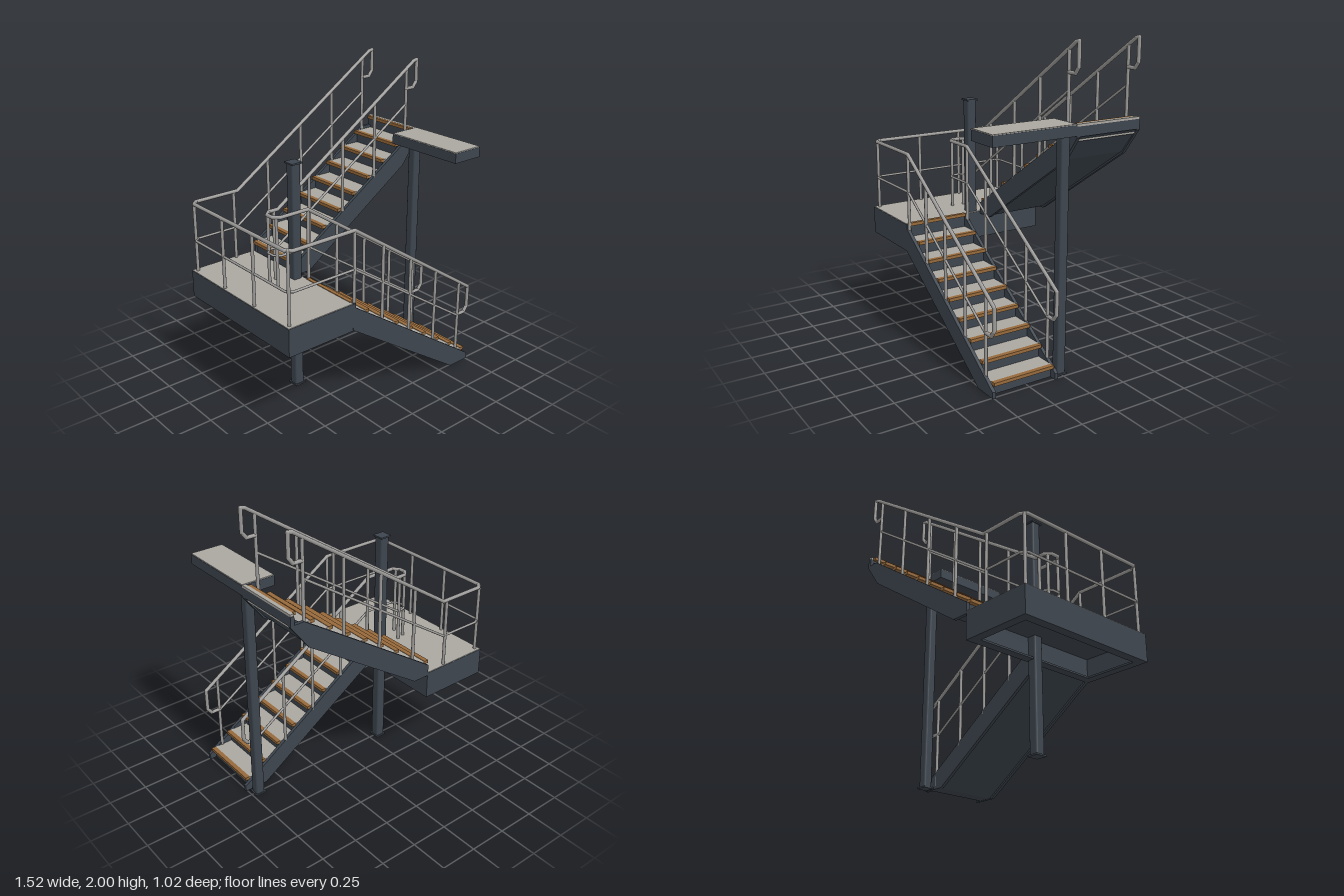
import * as THREE from 'three';
import { RoundedBoxGeometry } from 'three/addons/geometries/RoundedBoxGeometry.js';

const material = (name, color) => {
  const m = new THREE.MeshStandardMaterial({ color });
  m.name = name;
  return m;
};

export function createModel() {
  const steel = material('dark steel', 0x3d454e);
  const deck = material('grey deck', 0xaaa7a1);
  const railGrey = material('rail grey', 0x9b9a98);
  const wood = material('brown nosing', 0x96693a);

  const model = new THREE.Group();
  model.name = 'staircase';
  const group = (name) => {
    const g = new THREE.Group();
    g.name = name;
    model.add(g);
    return g;
  };
  const add = (parent, name, geometry, mat) => {
    const mesh = new THREE.Mesh(geometry, mat);
    mesh.name = name;
    parent.add(mesh);
    return mesh;
  };
  // Box given by its lower and upper limits on each axis
  const box = (parent, name, mat, x0, x1, y0, y1, z0, z1) => {
    const mesh = add(parent, name, new THREE.BoxGeometry(x1 - x0, y1 - y0, z1 - z0), mat);
    mesh.position.set((x0 + x1) / 2, (y0 + y1) / 2, (z0 + z1) / 2);
  };
  // Side profile in x and y, extruded from z0 to z1
  const slab = (parent, name, mat, points, z0, z1) => {
    const shape = new THREE.Shape(points.map(([x, y]) => new THREE.Vector2(x, y)));
    const geo = new THREE.ExtrudeGeometry(shape, { depth: z1 - z0, bevelEnabled: false });
    add(parent, name, geo.translate(0, 0, z0), mat);
  };
  // Pipe through a list of points, with round joints
  const pipe = (parent, name, points, radius) => {
    const v = points.map((p) => new THREE.Vector3(...p));
    for (let i = 0; i < v.length; i++) {
      add(parent, name + 'Joint', new THREE.SphereGeometry(radius, 10, 6), railGrey).position.copy(v[i]);
      if (i === 0) continue;
      const dir = v[i].clone().sub(v[i - 1]);
      const rod = add(parent, name, new THREE.CylinderGeometry(radius, radius, dir.length(), 10), railGrey);
      rod.position.copy(v[i]).add(v[i - 1]).multiplyScalar(0.5);
      rod.quaternion.setFromUnitVectors(new THREE.Vector3(0, 1, 0), dir.normalize());
    }
  };

  // Columns with end plates
  const column = (name, x, width, height) => {
    const g = group(name);
    add(g, 'shaft', new RoundedBoxGeometry(width, height, width, 2, 0.012), steel).position.set(x, height / 2, 0);
    const h = width / 2 + 0.007;
    box(g, 'basePlate', steel, x - h, x + h, 0, 0.01, -h, h);
    box(g, 'topPlate', steel, x - h, x + h, height - 0.01, height, -h, h);
  };
  column('landingColumn', -0.325, 0.064, 1.53);
  column('upperColumn', 0.698, 0.06, 1.465);

  // Landing: hollow channel frame with a deck on top
  const landing = group('landing');
  const ring = (name, y0, y1, inset) => {
    const rect = (Type, d) => new Type([
      new THREE.Vector2(-0.765 + d, -0.508 + d), new THREE.Vector2(-0.283 - d, -0.508 + d),
      new THREE.Vector2(-0.283 - d, 0.508 - d), new THREE.Vector2(-0.765 + d, 0.508 - d),
    ]);
    const shape = rect(THREE.Shape, 0);
    shape.holes.push(rect(THREE.Path, inset));
    const geo = new THREE.ExtrudeGeometry(shape, { depth: y1 - y0, bevelEnabled: false });
    add(landing, name, geo.rotateX(-Math.PI / 2).translate(0, y0, 0), steel);
  };
  ring('fascia', 0.585, 0.765, 0.015);
  ring('bottomFlange', 0.585, 0.597, 0.06);
  box(landing, 'deckUnderside', steel, -0.752, -0.295, 0.735, 0.75, -0.495, 0.495);
  box(landing, 'deckPlate', deck, -0.763, -0.285, 0.75, 0.769, -0.506, 0.506);
  box(landing, 'landingNosing', wood, -0.292, -0.267, 0.752, 0.773, 0.072, 0.483);

  // Upper platform beside the top step
  const platform = group('upperPlatform');
  box(platform, 'platformFrame', steel, 0.54, 0.76, 1.46, 1.524, -0.05, 0.51);
  box(platform, 'platformDeck', deck, 0.542, 0.758, 1.524, 1.53, -0.048, 0.508);

  // A flight climbs along direction d, from the nose of its first step
  const RISE = 0.085;
  const flight = ({ name, d, x, y, run, steps, z0, z1, stringer, start, end, soffit }) => {
    const g = group(name);
    slab(g, 'stringer', steel, stringer, z0, z0 + 0.022);
    slab(g, 'stringer', steel, stringer, z1 - 0.022, z1);
    const zi = z0 + 0.021, zo = z1 - 0.021;
    const core = [start];
    for (let k = 0; k < steps; k++) {
      const nose = x + d * run * k, top = y + RISE * k;
      const riser = nose + d * 0.02;
      let back = nose + d * (run + 0.02);
      if (k === steps - 1) back = end;
      core.push([riser, Math.max(0.001, top - RISE - 0.014)], [riser, top - 0.014]);
      box(g, 'tread', deck, Math.min(nose + d * 0.02, back), Math.max(nose + d * 0.02, back), top - 0.014, top, zi, zo);
      box(g, 'nosing', wood, Math.min(nose - d * 0.01, nose + d * 0.02), Math.max(nose - d * 0.01, nose + d * 0.02),
        top - 0.018, top + 0.003, zi, zo);
    }
    core.push([end, y + RISE * (steps - 1) - 0.014], ...soffit);
    slab(g, 'risersAndSoffit', steel, core, zi, zo);
    return g;
  };
  flight({
    name: 'lowerFlight', d: -1, x: 0.735, y: 0.083, run: 0.1265, steps: 8, z0: 0.05, z1: 0.51,
    stringer: [[-0.285, 0.765], [-0.285, 0.59], [0.6, 0], [0.76, 0], [0.76, 0.04], [-0.265, 0.735], [-0.265, 0.765]],
    start: [0.62, 0.001], end: -0.284, soffit: [[-0.284, 0.605]],
  });
  const upper = flight({
    name: 'upperFlight', d: 1, x: -0.29, y: 0.845, run: 0.1265, steps: 9, z0: -0.51, z1: -0.05,
    stringer: [[-0.285, 0.75], [-0.17, 0.75], [0.64, 1.29], [0.76, 1.45], [0.76, 1.46], [0.67, 1.46], [-0.285, 0.825]],
    start: [-0.27, 0.756], end: 0.758, soffit: [[0.755, 1.455], [0.635, 1.3], [-0.175, 0.76]],
  });
  box(upper, 'topStepEnd', steel, 0.735, 0.76, 1.455, 1.515, -0.51, -0.05);
  box(upper, 'topStepDeck', deck, 0.735, 0.76, 1.515, 1.529, -0.508, -0.052);

  // Handrails: down the lower flight, around the landing, up the upper flight
  const railing = (name, z, corners) => {
    const g = group(name);
    const bend = (y) => corners.map(([cx, cz]) => [cx, y, cz]);
    pipe(g, 'handrail', [
      [0.66, 0.368, z], [0.72, 0.368, z], [0.748, 0.405, z], [0.748, 0.55, z], [-0.265, 1.228, z],
      ...bend(1.228),
      [-0.405, 1.228, -z], [0.72, 1.982, -z], [0.748, 1.988, -z], [0.748, 1.845, -z], [0.72, 1.808, -z], [0.66, 1.808, -z],
    ], 0.012);
    pipe(g, 'midRail', [
      [0.66, 0.36, z], [-0.265, 0.98, z], ...bend(0.98), [-0.42, 0.98, -z], [0.66, 1.705, -z],
    ], 0.008);
    const post = (x, y0, y1, pz) => pipe(g, 'post', [[x, y0, pz], [x, y1, pz]], 0.0105);
    // Posts on the lower flight
    post(0.66, 0.012, 0.609, z);
    for (const x of [0.43, 0.2, -0.035]) post(x, 0.53 - 0.672 * x, 1.05 - 0.669 * x, z);
    post(-0.265, 0.72, 1.228, z);
    // Posts on the upper flight
    for (const x of [0.66, 0.385, 0.115, -0.16]) post(x, 1.0 + 0.672 * x, 1.5 + 0.67 * x, -z);
    post(-0.435, 0.765, 1.228, -z);
    return post;
  };
  const outerPost = railing('outerRailing', 0.492,
    [[-0.715, 0.492], [-0.748, 0.46], [-0.748, -0.46], [-0.715, -0.492]]);
  for (const s of [-1, 1]) {
    outerPost(-0.738, 0.765, 1.228, s * 0.478);
    outerPost(-0.748, 0.765, 1.228, s * 0.155);
  }
  const innerPost = railing('innerRailing', 0.06,
    [[-0.475, 0.06], [-0.51, 0.025], [-0.51, -0.025], [-0.475, -0.06]]);
  for (const s of [-1, 1]) innerPost(-0.492, 0.765, 1.228, s * 0.043);

  return model;
}
